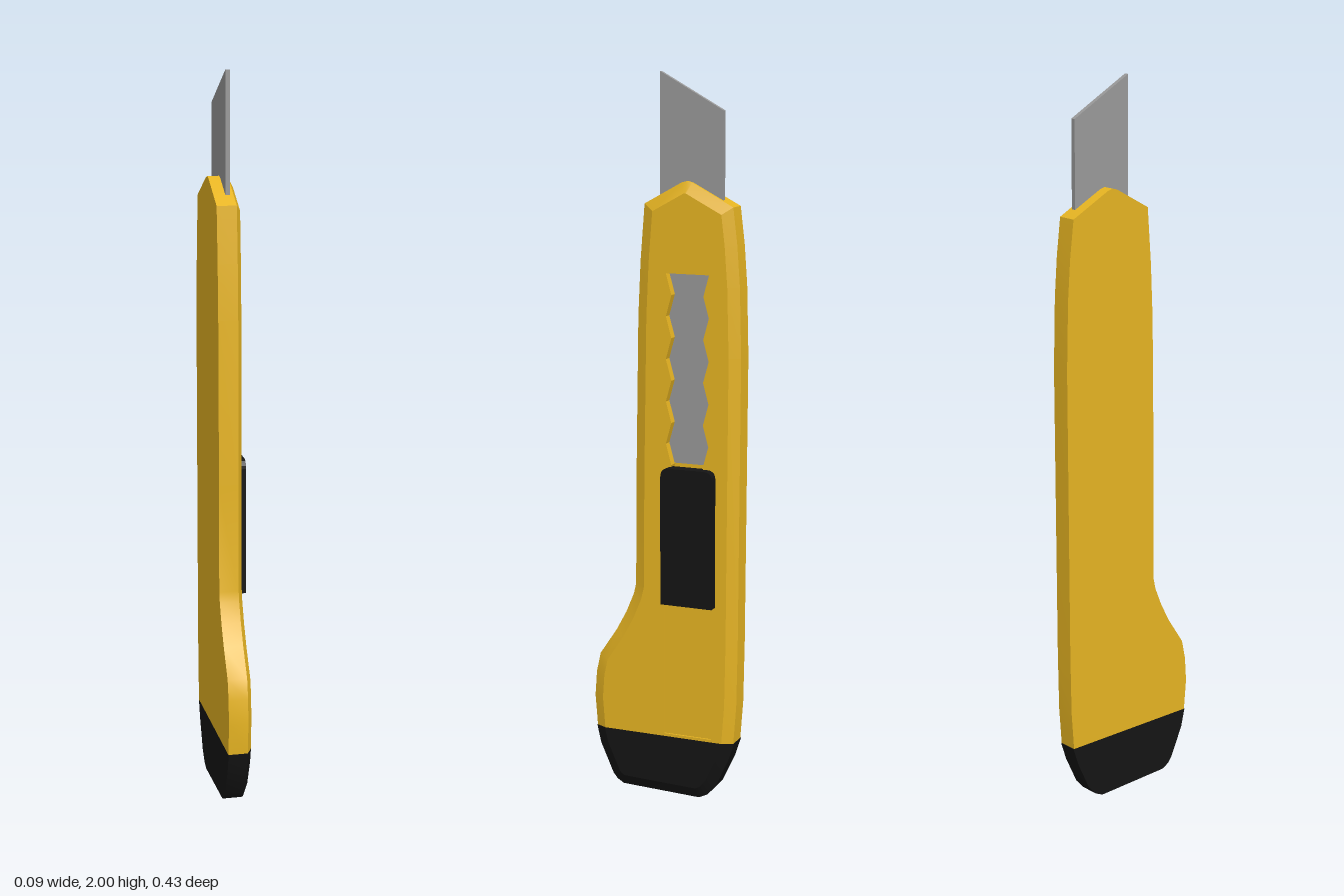
import * as THREE from 'three';
import { toCreasedNormals } from 'three/addons/utils/BufferGeometryUtils.js';

// Everything is drawn as a side profile (u = toward the back, v = up) with
// thickness along w; the whole group is then turned so w points to +x.
const BACK = -0.048, RIM = 0.006, FACE = 0.021, INSET = 0.03, CUT = 0.172;

const yellow = new THREE.MeshStandardMaterial({ color: 0xe6b422 });
const black = new THREE.MeshStandardMaterial({ color: 0x141414 });
const steel = new THREE.MeshStandardMaterial({ color: 0x999999 });

const points = list => list.map(([u, v]) => new THREE.Vector2(u, v));

// Mitred inset of a counter-clockwise outline; points on the cut stay on it
function insetLoop(loop, d) {
  return loop.map((p, i) => {
    const a = loop[(i + loop.length - 1) % loop.length], b = loop[(i + 1) % loop.length];
    if (p.y === CUT) return new THREE.Vector2(p.x - Math.sign(p.x) * d, CUT);
    const e1 = p.clone().sub(a).normalize(), e2 = b.clone().sub(p).normalize();
    const n1 = new THREE.Vector2(-e1.y, e1.x), n2 = new THREE.Vector2(-e2.y, e2.x);
    const m = n1.clone().add(n2);
    return p.clone().addScaledVector(m, d / (1 + n1.dot(n2)));
  });
}

// Slab with a chamfered front face and recesses { loop, floor } sunk into it
function chamferedSlab(outline, recesses = []) {
  const pos = [];
  const put = (p, w) => pos.push(p.x, p.y, w);
  const strip = (A, wA, B, wB) => A.forEach((a, i) => {
    const j = (i + 1) % A.length;
    put(a, wA); put(A[j], wA); put(B[j], wB);
    put(a, wA); put(B[j], wB); put(B[i], wB);
  });
  const cover = (loop, w, flip = false, holes = []) => {
    const all = [loop, ...holes].flat();
    for (const [a, b, c] of THREE.ShapeUtils.triangulateShape(loop, holes)) {
      for (const k of flip ? [a, c, b] : [a, b, c]) put(all[k], w);
    }
  };
  const inner = insetLoop(outline, INSET);
  cover(outline, BACK, true);
  strip(outline, BACK, outline, RIM);
  strip(outline, RIM, inner, FACE);
  cover(inner, FACE, false, recesses.map(r => r.loop));
  for (const { loop, floor } of recesses) {
    strip(loop, FACE, loop, floor);
    cover(loop, floor);
  }
  const g = new THREE.BufferGeometry();
  g.setAttribute('position', new THREE.Float32BufferAttribute(pos, 3));
  return toCreasedNormals(g, 0.4);
}

function extruded(shape, w0, w1) {
  return new THREE.ExtrudeGeometry(shape, { depth: w1 - w0, bevelEnabled: false, curveSegments: 5 })
    .translate(0, 0, w0);
}

// Window with scalloped sides that reveals the blade
function scallopedWindow(bottom, top, waves) {
  const n = waves * 4, left = [], right = [];
  for (let i = 0; i <= n; i++) {
    const v = bottom + (top - bottom) * i / n;
    const half = 0.054 + 0.008 * Math.cos(i * Math.PI / 2);
    right.push(new THREE.Vector2(0.068 + half, v));
    left.unshift(new THREE.Vector2(0.068 - half, v));
  }
  return [...right, ...left];
}

export function createModel() {
  const group = new THREE.Group();
  group.name = 'utilityKnife';
  const add = (name, geometry, material) => {
    const mesh = new THREE.Mesh(geometry, material);
    mesh.name = name;
    group.add(mesh);
  };

  // Handle with a swollen grip at the bottom and a pointed mouth
  const handle = points([
    [-0.21, CUT], [0.202, CUT], [0.21, 0.28], [0.213, 0.45], [0.217, 1.25], [0.212, 1.44],
    [0.204, 1.55], [0.192, 1.65], [0.075, 1.711], [0.06, 1.715], [0.045, 1.711], [-0.062, 1.652],
    [-0.074, 1.5], [-0.081, 1.35], [-0.088, 0.9], [-0.09, 0.6], [-0.097, 0.57], [-0.12, 0.515],
    [-0.15, 0.46], [-0.2, 0.385], [-0.212, 0.33], [-0.217, 0.26]
  ]);
  const track = points([[0, 0.18], [0.14, 0.18], [0.14, 0.8], [0, 0.8]]);
  add('handle', chamferedSlab(handle, [
    { loop: track, floor: 0.016 },
    { loop: scallopedWindow(0.89, 1.47, 5), floor: -0.008 }
  ]), yellow);

  // End cap
  const cap = points([
    [-0.13, 0.008], [0.1, 0], [0.125, 0.012], [0.15, 0.04], [0.187, 0.12], [0.204, CUT],
    [-0.212, CUT], [-0.2, 0.12], [-0.162, 0.035], [-0.15, 0.02]
  ]);
  add('endCap', chamferedSlab(cap), black);

  // Blade with a slanted tip
  const blade = new THREE.Shape(points([[-0.021, 0.95], [0.16, 0.95], [0.16, 1.9], [-0.021, 2]]));
  add('blade', extruded(blade, -0.016, -0.003), steel);

  // Thumb slider with rounded upper corners
  const slider = new THREE.Shape();
  slider.moveTo(0, 0.56);
  slider.lineTo(0.151, 0.56);
  slider.lineTo(0.151, 0.918);
  slider.quadraticCurveTo(0.151, 0.943, 0.126, 0.943);
  slider.lineTo(0.025, 0.943);
  slider.quadraticCurveTo(0, 0.943, 0, 0.918);
  add('thumbSlider', extruded(slider, 0.01, 0.046), black);

  group.rotation.y = Math.PI / 2;
  const model = new THREE.Group();
  model.name = 'model';
  model.add(group);
  return model;
}
